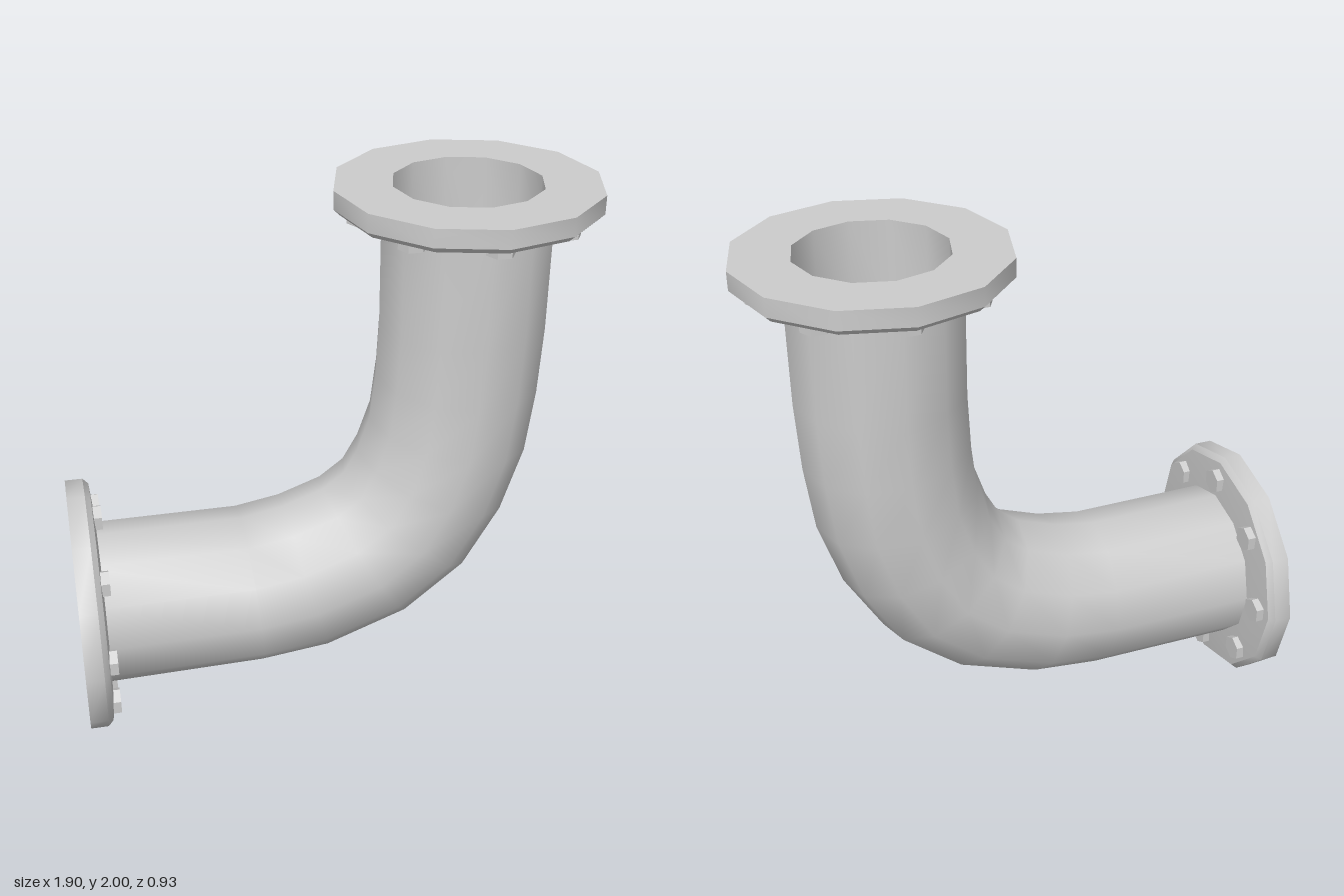
import * as THREE from 'three';
import { toCreasedNormals } from 'three/addons/utils/BufferGeometryUtils.js';

const material = new THREE.MeshStandardMaterial({ color: 0xcccccc });
const SIDES = 12;
const PIPE_RADIUS = 0.3;

function addMesh(parent, name, geometry) {
  const mesh = new THREE.Mesh(geometry, material);
  mesh.name = name;
  parent.add(mesh);
  return mesh;
}

// Bent pipe: each section runs from its outer point to its inner point in the xy plane
function pipeGeometry() {
  const sections = [
    [-0.9, 0.165, -0.9, 0.765],
    [-0.28, 0.178, -0.33, 0.765],
    [-0.02, 0.21, -0.17, 0.795],
    [0.29, 0.33, -0.02, 0.85],
    [0.52, 0.52, 0.06, 0.91],
    [0.66, 0.76, 0.11, 1.0],
    [0.74, 1.01, 0.155, 1.13],
    [0.77, 1.25, 0.175, 1.3],
    [0.783, 1.5, 0.185, 1.5],
    [0.785, 1.95, 0.185, 1.95],
  ];
  const positions = [];
  const indices = [];
  sections.forEach(([ox, oy, ix, iy], s) => {
    for (let k = 0; k < SIDES; k++) {
      const a = (k / SIDES) * Math.PI * 2;
      const t = (1 - Math.cos(a)) / 2;
      positions.push(ox + (ix - ox) * t, oy + (iy - oy) * t, PIPE_RADIUS * Math.sin(a));
      if (s === 0) continue;
      const n = (k + 1) % SIDES;
      const p = (s - 1) * SIDES;
      const q = s * SIDES;
      indices.push(p + k, q + k, p + n, q + k, q + n, p + n);
    }
  });
  const geometry = new THREE.BufferGeometry();
  geometry.setAttribute('position', new THREE.Float32BufferAttribute(positions, 3));
  geometry.setIndex(indices);
  geometry.computeVertexNormals();
  return geometry;
}

// Flange with its mating face at y = 0, chamfered back, blind bore and ring of bolts
function createFlange(name) {
  const flange = new THREE.Group();
  flange.name = name;

  const profile = [
    [0.28, -0.095],
    [0.36, -0.092],
    [0.445, -0.085],
    [0.465, -0.065],
    [0.465, 0],
    [0.262, 0],
    [0.262, -0.32],
    [0, -0.32],
  ].map(([r, y]) => new THREE.Vector2(r, y));
  addMesh(flange, 'flangeDisc', toCreasedNormals(new THREE.LatheGeometry(profile, SIDES), 0.6));

  const boltGeometry = toCreasedNormals(new THREE.CylinderGeometry(0.049, 0.049, 0.04, 6), 0.5);
  for (let i = 0; i < 8; i++) {
    const a = (i / 8) * Math.PI * 2;
    const bolt = addMesh(flange, 'bolt', boltGeometry);
    bolt.position.set(0.37 * Math.cos(a), -0.097, 0.37 * Math.sin(a));
    bolt.rotation.y = Math.PI / 2; // hexagon corners along local x
  }
  return flange;
}

export function createModel() {
  const model = new THREE.Group();
  model.name = 'pipeElbow';

  addMesh(model, 'bentPipe', pipeGeometry());

  const topFlange = createFlange('topFlange');
  topFlange.position.set(0.485, 2, 0);
  model.add(topFlange);

  const sideFlange = createFlange('sideFlange');
  sideFlange.position.set(-0.95, 0.465, 0);
  sideFlange.rotation.z = Math.PI / 2;
  model.add(sideFlange);

  return model;
}
